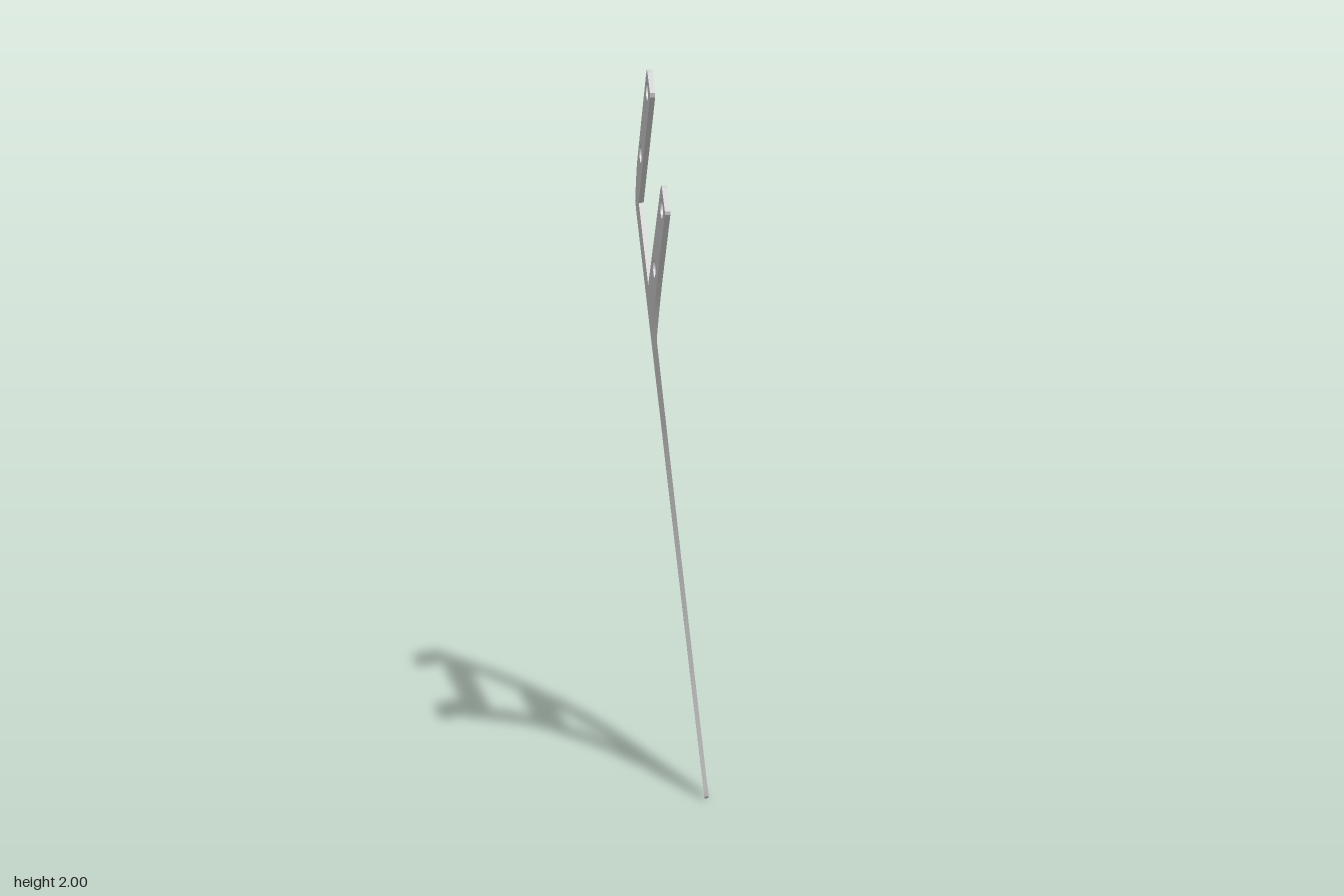
import * as THREE from 'three';
import { mergeGeometries, toCreasedNormals } from 'three/addons/utils/BufferGeometryUtils.js';

const THICKNESS = 0.012;

// The plate is two flat panels, z = a*x + b*y + c, that meet along a slanted bend line
const FORK = { a: 0.75, b: 0, c: 0.094 };
const BLADE = { a: 0.91, b: 0.1488, c: -0.125 };
const BEND_LEFT = [-0.183, 1.672];
const BEND_RIGHT = [0.072, 1.396];

const v2 = ([x, y]) => new THREE.Vector2(x, y);
const line = (...pts) => pts.map(v2);
const curve = (n, ...pts) => new THREE.SplineCurve(pts.map(v2)).getPoints(n);
const heightOf = (p, x, y) => p.a * x + p.b * y + p.c;
const normalOf = (p) => new THREE.Vector3(-p.a, -p.b, 1).normalize();
const bendNormal = normalOf(FORK).add(normalOf(BLADE)).normalize();
const onBend = (x, y) =>
  [BEND_LEFT, BEND_RIGHT].some((p) => Math.hypot(p[0] - x, p[1] - y) < 1e-4);

// Extrude a face-on outline, then lay it onto its slanted panel
function panel(outline, holes, plane) {
  const shape = new THREE.Shape(outline);
  shape.holes = holes;
  const geo = new THREE.ExtrudeGeometry(shape, {
    depth: THICKNESS, bevelEnabled: false, curveSegments: 32,
  });
  const pos = geo.attributes.position;
  const keep = [];
  const n = normalOf(plane);
  for (let i = 0; i < pos.count; i += 3) {
    const tri = [];
    let seam = 0;
    for (let k = i; k < i + 3; k++) {
      const x = pos.getX(k), y = pos.getY(k), t = pos.getZ(k) - THICKNESS / 2;
      const atBend = onBend(x, y);
      if (atBend) seam++;
      const p = new THREE.Vector3(x, y, heightOf(atBend ? FORK : plane, x, y));
      p.addScaledVector(atBend ? bendNormal : n, t);
      tri.push(p.x, p.y, p.z);
    }
    if (seam < 3) keep.push(...tri); // drop the hidden wall inside the bend
  }
  const out = new THREE.BufferGeometry();
  out.setAttribute('position', new THREE.Float32BufferAttribute(keep, 3));
  return out;
}

// Round bolt hole, foreshortened face-on by the slope of the fork
function boltHole([x, y]) {
  const path = new THREE.Path();
  path.absellipse(x, y, 0.0168, 0.021, 0, Math.PI * 2, true);
  return path;
}

export function createModel() {
  const group = new THREE.Group();
  group.name = 'bentBracket';

  // Fork: two prongs with a square notch between them
  const forkOutline = [
    ...line(BEND_RIGHT),
    ...curve(8, [0.09, 1.432], [0.122, 1.492], [0.16, 1.556]),
    ...line([0.267, 1.718], [0.268, 1.726], [0.23, 1.768], [0.22, 1.773], [0.208, 1.764],
      [0.024, 1.513], [-0.125, 1.677],
      [0.06, 1.942], [0.062, 1.953], [0.027, 1.994], [0.018, 2.0], [0.006, 1.99]),
    ...curve(10, [-0.125, 1.802], [-0.15, 1.764], [-0.168, 1.722]),
    ...line(BEND_LEFT),
  ];
  const bolts = [[0.019, 1.953], [-0.088, 1.798], [0.225, 1.724], [0.117, 1.571]].map(boltHole);

  // Blade: tapering curved lower panel ending in a narrow tip
  const bladeOutline = [
    ...curve(40, BEND_LEFT, [-0.226, 1.4], [-0.257, 1.13], [-0.272, 0.85], [-0.267, 0.62],
      [-0.241, 0.385], [-0.185, 0.02]),
    ...line([-0.179, 0.004], [-0.17, 0.002], [-0.163, 0.012]),
    ...curve(40, [-0.162, 0.03], [-0.164, 0.18], [-0.159, 0.39], [-0.141, 0.6],
      [-0.103, 0.84], [-0.05, 1.06], [-0.003, 1.2], BEND_RIGHT),
  ];
  const upperWindow = new THREE.Path([
    ...line([-0.172, 1.479], [-0.164, 1.474], [-0.018, 1.322], [-0.014, 1.31]),
    ...curve(10, [-0.018, 1.298], [-0.067, 1.16], [-0.105, 1.018]),
    ...line([-0.112, 1.022], [-0.211, 1.124]),
    ...curve(10, [-0.215, 1.135], [-0.2, 1.3], [-0.177, 1.472]),
  ]);
  const lowerWindow = new THREE.Path([
    ...line([-0.222, 0.901], [-0.213, 0.896], [-0.15, 0.83], [-0.147, 0.82]),
    ...curve(10, [-0.149, 0.808], [-0.174, 0.67], [-0.193, 0.512]),
    ...line([-0.198, 0.505], [-0.207, 0.505]),
    ...curve(10, [-0.21, 0.515], [-0.224, 0.68], [-0.229, 0.885]),
  ]);

  const geo = mergeGeometries([
    panel(forkOutline, bolts, FORK),
    panel(bladeOutline, [upperWindow, lowerWindow], BLADE),
  ]);
  const plate = new THREE.Mesh(
    toCreasedNormals(geo, 0.12),
    new THREE.MeshStandardMaterial({ color: 0xcccccc }),
  );
  plate.name = 'bentPlate';
  group.add(plate);
  return group;
}
